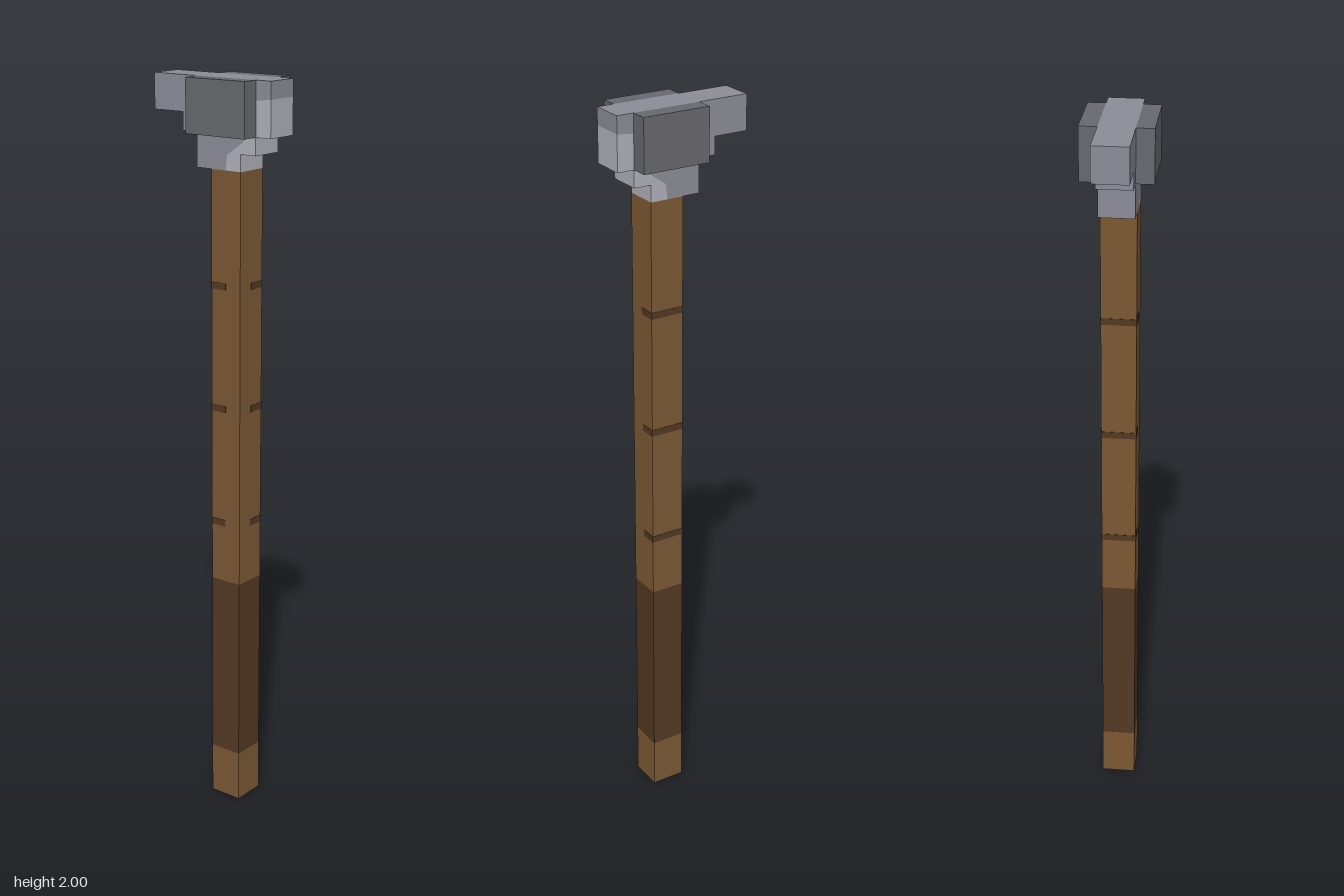
import * as THREE from 'three';

const material = (name, color) => {
  const m = new THREE.MeshStandardMaterial({ color });
  m.name = name;
  return m;
};

export function createModel() {
  const wood = material('wood', 0x7b5834);
  const darkWood = material('dark wood', 0x533823);
  const steel = material('steel', 0x8c8c98);
  const lightSteel = material('light steel', 0xb0b1ba);
  const darkSteel = material('dark steel', 0x68696e);

  const model = new THREE.Group();
  model.name = 'warHammer';
  const h = 0.0465; // half the shaft thickness

  const add = (name, geometry, mat) => {
    const mesh = new THREE.Mesh(geometry, mat);
    mesh.name = name;
    model.add(mesh);
  };
  const box = (name, mat, x0, x1, y0, y1, z0, z1) => {
    const g = new THREE.BoxGeometry(x1 - x0, y1 - y0, z1 - z0);
    g.translate((x0 + x1) / 2, (y0 + y1) / 2, (z0 + z1) / 2);
    add(name, g, mat);
  };
  const slab = (name, mat, points) => {
    const shape = new THREE.Shape(points.map(([x, y]) => new THREE.Vector2(x, y)));
    const g = new THREE.ExtrudeGeometry(shape, { depth: 2 * h, bevelEnabled: false });
    g.translate(0, 0, -h);
    add(name, g, mat);
  };

  // Square shaft with a dark grip
  box('pommelEnd', wood, 0, 2 * h, 0, 0.142, -h, h);
  box('grip', darkWood, 0, 2 * h, 0.142, 0.653, -h, h);
  box('shaft', wood, 0, 2 * h, 0.653, 1.77, -h, h);

  // Dark grooves wrapping the back corner of the shaft
  const t = 0.001;
  for (const y of [0.82, 1.14, 1.47]) {
    const y0 = y - 0.009, y1 = y + 0.009;
    box('grooveBack', darkWood, 0, 2 * h, y0, y1, -h - t, -h);
    box('grooveSide', darkWood, -t, 0, y0, y1, -h, h);
    box('grooveFront', darkWood, 0, h, y0, y1, h, h + t);
    box('grooveFarSide', darkWood, 2 * h, 2 * h + t, y0, y1, -h, 0);
  }

  // Stepped head, split along the edge of its bright worn steel
  const seam = [[0.045, 1.77], [0.05, 1.81], [0.1, 1.845], [0.13, 1.88], [0.14, 1.95], [0.186, 1.955]];
  slab('headBody', steel, [
    ...seam, [0.186, 2], [-0.186, 2], [-0.186, 1.907], [-0.093, 1.907],
    [-0.093, 1.86], [-h, 1.86], [-h, 1.77],
  ]);
  slab('headWornEdge', lightSteel, [
    [0.093, 1.77], [0.093, 1.814], [0.14, 1.814], [0.14, 1.86], [0.186, 1.86],
    ...seam.slice().reverse(),
  ]);

  // Dark cheek plates on both sides of the head
  for (const s of [-1, 1]) {
    const z = s * 1.5 * h;
    box('cheekPlate', darkSteel, -h, 0.14, 1.86, 2, z - h / 2, z + h / 2);
  }
  return model;
}
